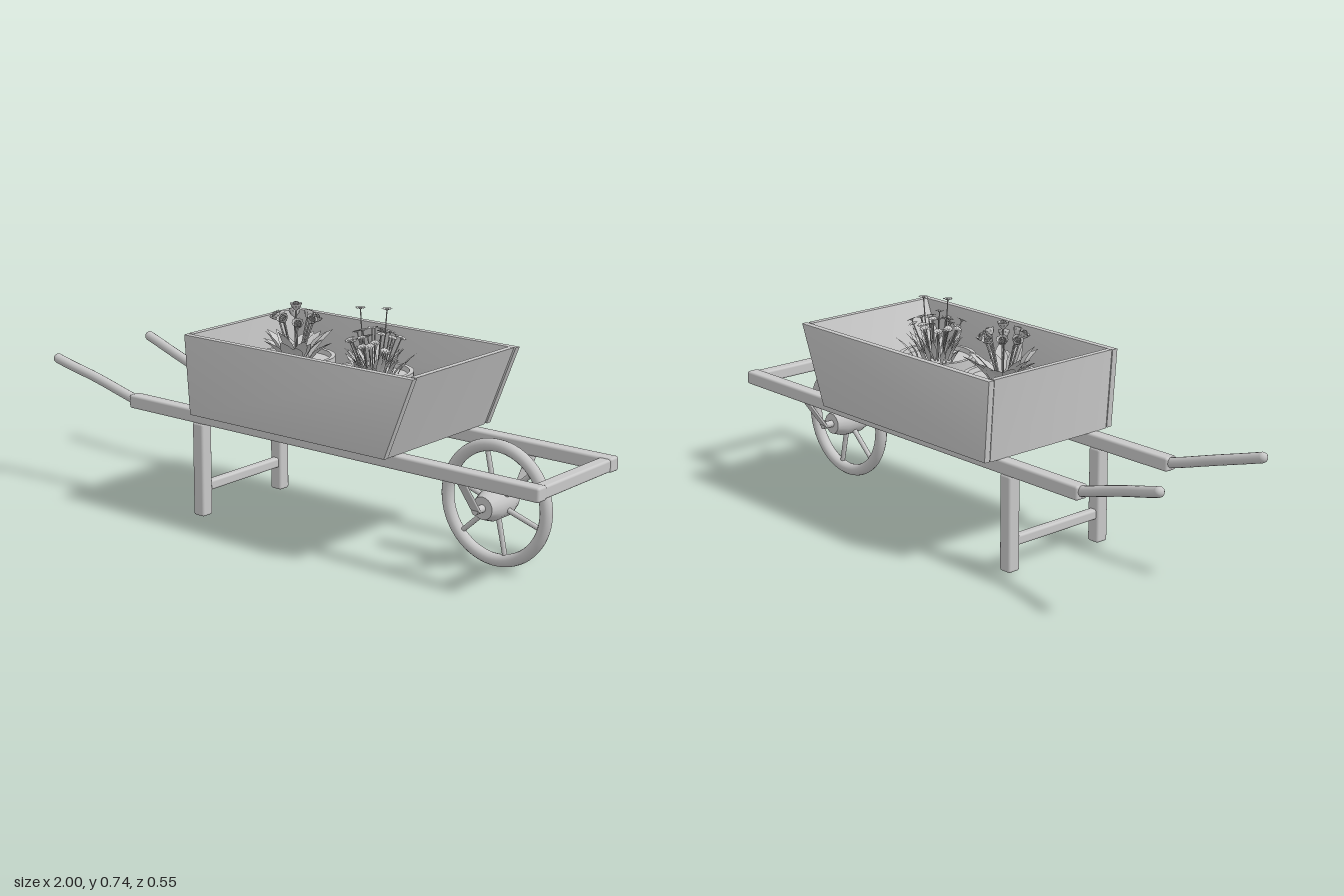
import * as THREE from 'three';
import { mergeGeometries, toCreasedNormals } from 'three/addons/utils/BufferGeometryUtils.js';
import { RoundedBoxGeometry } from 'three/addons/geometries/RoundedBoxGeometry.js';

const grey = new THREE.MeshStandardMaterial({ color: 0xc8c8c8, side: THREE.DoubleSide });
grey.name = 'plain grey';

let seed = 7;
const rnd = (a, b) => {
  seed = (seed * 16807) % 2147483647;
  return a + (b - a) * (seed / 2147483647);
};
const V = (x, y, z) => new THREE.Vector3(x, y, z);

function add(parent, name, geometry) {
  const mesh = new THREE.Mesh(geometry, grey);
  mesh.name = name;
  parent.add(mesh);
  return mesh;
}

// Rounded beam filling the given limits
function beam(x0, x1, y0, y1, z0, z1, r = 0.008) {
  return new RoundedBoxGeometry(x1 - x0, y1 - y0, z1 - z0, 2, r)
    .translate((x0 + x1) / 2, (y0 + y1) / 2, (z0 + z1) / 2);
}

// Board cut from an outline in x and y, with eased edges, between z0 and z1
function board(outline, z0, z1) {
  const b = 0.003;
  const shape = new THREE.Shape(outline.map(([x, y]) => new THREE.Vector2(x, y)));
  const g = new THREE.ExtrudeGeometry(shape, {
    depth: z1 - z0 - 2 * b, bevelThickness: b, bevelSize: b, bevelOffset: -b, bevelSegments: 2,
  });
  return toCreasedNormals(g.translate(0, 0, z0 + b), 0.6);
}

const lathe = (pts, n) => toCreasedNormals(
  new THREE.LatheGeometry(pts.map(([r, y]) => new THREE.Vector2(r, y)), n), 0.5);

const tube = (pts, r, n = 16, sides = 10) =>
  new THREE.TubeGeometry(new THREE.CatmullRomCurve3(pts), n, r, sides);

// Pointed or rounded leaf growing from the origin, bent and leaned outwards
function leaf(len, width, curl, lean, turn, blunt = 1) {
  const g = new THREE.PlaneGeometry(width, len, 2, 5);
  const p = g.attributes.position;
  for (let i = 0; i < p.count; i++) {
    const t = THREE.MathUtils.clamp(p.getY(i) / len + 0.5, 0, 1);
    const x = p.getX(i) * (0.06 + 0.94 * Math.sin(Math.PI * Math.pow(t, blunt)));
    p.setXYZ(i, x, len * t, curl * t * t - Math.abs(x) * 0.35);
  }
  g.computeVertexNormals();
  return g.rotateX(lean).rotateY(turn);
}

// Full blossom of cupped petals in three rings
function blossom(size) {
  const parts = [];
  [[9, 1.05, 1], [7, 0.6, 0.95], [5, 0.2, 0.85]].forEach(([n, lean, s], ring) => {
    for (let i = 0; i < n; i++) {
      parts.push(leaf(size * s, size * 0.75, -size * 0.45, lean, (i + ring * 0.4) / n * Math.PI * 2, 1.5));
    }
  });
  return mergeGeometries(parts);
}

// Small flat daisy with a domed centre
function daisy(size) {
  const parts = [new THREE.SphereGeometry(size * 0.35, 8, 5).scale(1, 0.6, 1)];
  for (let i = 0; i < 9; i++) {
    parts.push(leaf(size, size * 0.5, 0, 1.45, i / 9 * Math.PI * 2, 1.4));
  }
  return mergeGeometries(parts);
}

function pot(parent, name, x) {
  const g = new THREE.Group();
  g.name = name;
  g.position.set(x, 0.38, 0);
  parent.add(g);
  add(g, 'pot', lathe([[0.01, 0], [0.085, 0], [0.11, 0.12], [0.127, 0.12], [0.128, 0.17],
    [0.114, 0.17], [0.11, 0.155]], 40));
  add(g, 'soil', new THREE.CylinderGeometry(0.111, 0.108, 0.02, 32).translate(0, 0.145, 0));
  return g;
}

export function createModel() {
  const model = new THREE.Group();
  model.name = 'wheelbarrowPlanter';

  // Frame, handles and legs
  const frame = new THREE.Group();
  frame.name = 'frame';
  model.add(frame);
  for (const s of [1, -1]) {
    const z = 0.194 * s;
    add(frame, 'rail', beam(-0.65, 1, 0.32, 0.366, z - 0.023, z + 0.023));
    add(frame, 'leg', beam(-0.36, -0.314, 0.003, 0.322, z - 0.023, z + 0.023));
    add(frame, 'handle', tube([V(-0.62, 0.342, z), V(-0.66, 0.35, z), V(-0.82, 0.396, 0.204 * s),
      V(-0.92, 0.423, 0.217 * s), V(-0.984, 0.441, 0.224 * s)], 0.017, 24, 14));
    add(frame, 'handleTip', new THREE.SphereGeometry(0.017, 14, 10).translate(-0.983, 0.441, 0.224 * s));
  }
  add(frame, 'frontCrossbar', beam(0.955, 0.997, 0.322, 0.363, -0.18, 0.18));
  add(frame, 'legBrace', beam(-0.352, -0.322, 0.083, 0.117, -0.18, 0.18));

  // Tray
  const tray = new THREE.Group();
  tray.name = 'tray';
  model.add(tray);
  const side = [[-0.312, 0.367], [0.485, 0.367], [0.59, 0.631], [-0.332, 0.631]];
  add(tray, 'leftSide', board(side, 0.254, 0.277));
  add(tray, 'rightSide', board(side, -0.277, -0.254));
  add(tray, 'frontPanel', board([[0.462, 0.365], [0.48, 0.365], [0.585, 0.632], [0.565, 0.632]], -0.253, 0.253));
  add(tray, 'backPanel', board([[-0.311, 0.365], [-0.293, 0.365], [-0.312, 0.632], [-0.331, 0.632]], -0.253, 0.253));
  add(tray, 'floor', beam(-0.306, 0.472, 0.364, 0.382, -0.254, 0.254, 0.003));

  // Wheel, axle and hangers
  const wheel = new THREE.Group();
  wheel.name = 'wheel';
  wheel.position.set(0.705, 0.21, 0);
  model.add(wheel);
  add(wheel, 'rim', new THREE.TorusGeometry(0.182, 0.02, 14, 64));
  add(wheel, 'hub', lathe([[0.01, -0.073], [0.036, -0.073], [0.05, -0.035], [0.05, 0.035],
    [0.036, 0.073], [0.01, 0.073]], 20).rotateX(Math.PI / 2));
  add(wheel, 'axle', new THREE.CylinderGeometry(0.012, 0.012, 0.226, 16).rotateX(Math.PI / 2));
  for (let i = 0; i < 6; i++) {
    add(wheel, 'spoke', new THREE.CylinderGeometry(0.008, 0.009, 0.135, 10)
      .translate(0, 0.107, 0).rotateZ(i * Math.PI / 3 + 0.22));
  }
  for (const s of [1, -1]) {
    const hanger = add(wheel, 'axleHanger', new RoundedBoxGeometry(0.032, 0.15, 0.009, 2, 0.003));
    hanger.position.set(0, 0.058, 0.148 * s);
    hanger.rotation.x = s * Math.atan2(0.085, 0.116);
  }

  // Pot of full blossoms over broad leaves
  const first = pot(model, 'blossomPot', -0.095);
  const broad = [];
  for (let i = 0; i < 18; i++) {
    const a = i * 2.4, r = rnd(0.02, 0.06);
    broad.push(leaf(rnd(0.08, 0.13), 0.045, 0.03, rnd(0.2, 0.6), a)
      .translate(Math.sin(a) * r, 0.15, Math.cos(a) * r));
  }
  add(first, 'broadLeaves', mergeGeometries(broad));
  const heads = [], stalks = [];
  for (let i = 0; i < 9; i++) {
    const a = i / 8 * Math.PI * 2, r = i < 8 ? 0.055 : 0;
    const x = Math.sin(a) * r, z = Math.cos(a) * r;
    const y = i < 8 ? rnd(0.265, 0.305) : 0.315;
    heads.push(blossom(0.031).rotateX(r * 11).rotateY(a).translate(x, y, z));
    stalks.push(tube([V(x * 0.3, 0.15, z * 0.3), V(x * 0.6, 0.21, z * 0.6), V(x, y, z)], 0.003, 6, 5));
  }
  add(first, 'blossoms', mergeGeometries(heads));
  add(first, 'blossomStalks', mergeGeometries(stalks));

  // Pot of daisies on slender stalks
  const second = pot(model, 'daisyPot', 0.225);
  const slim = [], flowers = [], stems = [];
  for (let i = 0; i < 40; i++) {
    const a = i * 2.4, r = rnd(0.015, 0.075);
    slim.push(leaf(rnd(0.06, 0.11), 0.018, 0.02, rnd(0.1, 0.55), a)
      .translate(Math.sin(a) * r, 0.15, Math.cos(a) * r));
  }
  for (let i = 0; i < 22; i++) {
    const a = i * 2.4 + 0.4, r = 0.02 * Math.sqrt(i + 1);
    const x = Math.sin(a) * r, z = Math.cos(a) * r;
    const y = 0.325 - r * 0.6 + rnd(-0.03, 0.01);
    flowers.push(daisy(0.017).rotateX(r * 5).rotateY(a).translate(x, y, z));
    stems.push(tube([V(x * 0.5, 0.15, z * 0.5), V(x * 0.65, 0.2, z * 0.65), V(x, y, z)], 0.002, 6, 5));
  }
  for (const [x, z] of [[-0.05, 0.005], [0.025, -0.035]]) {
    flowers.push(daisy(0.018).translate(x, 0.363, z));
    stems.push(tube([V(x * 0.4, 0.15, z * 0.4), V(x * 0.8, 0.25, z * 0.8), V(x, 0.363, z)], 0.002, 6, 5));
  }
  add(second, 'slimLeaves', mergeGeometries(slim));
  add(second, 'daisies', mergeGeometries(flowers));
  add(second, 'daisyStalks', mergeGeometries(stems));

  return model;
}
